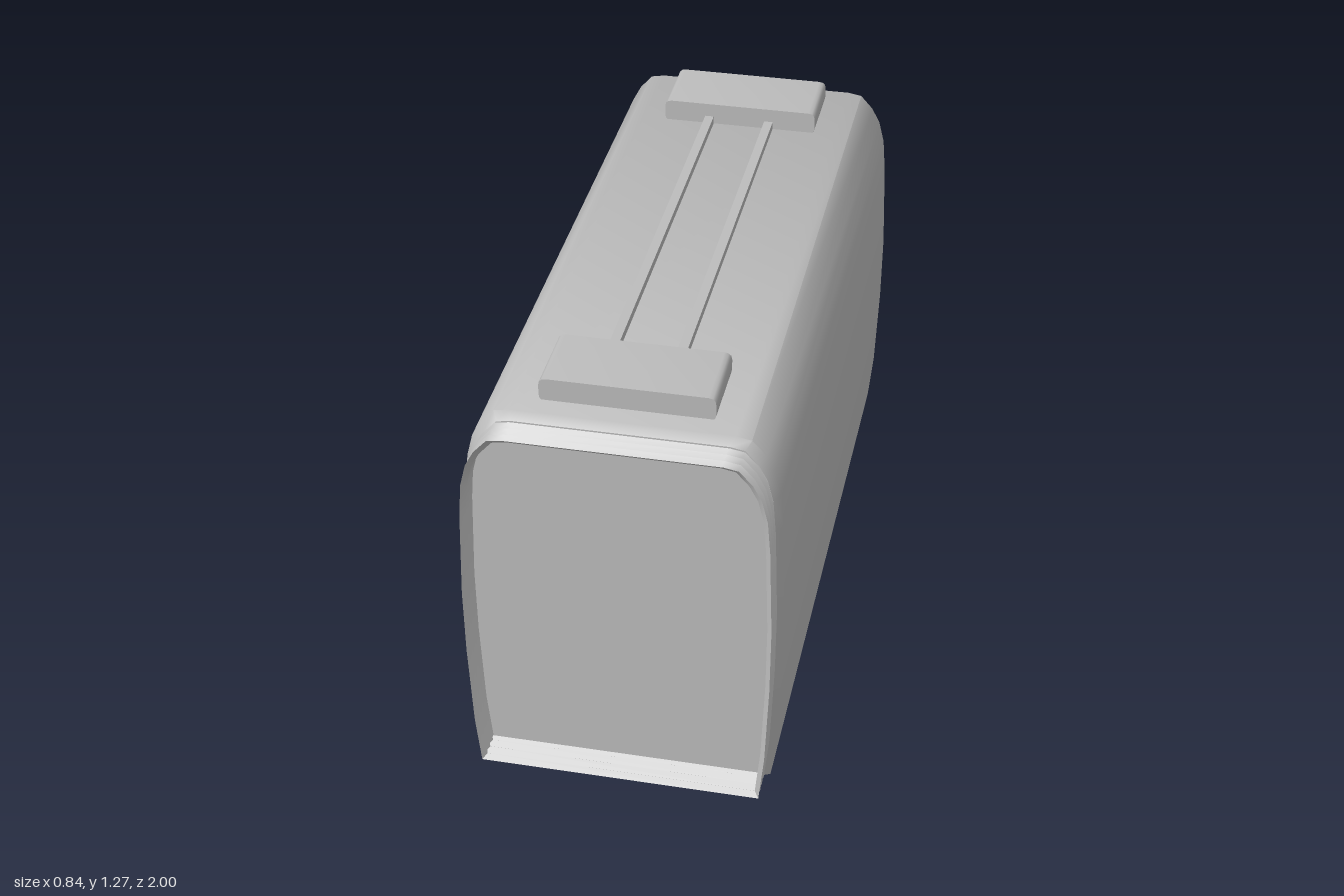
import * as THREE from 'three';
import { toCreasedNormals } from 'three/addons/utils/BufferGeometryUtils.js';

const CENTRE_Y = 0.662;
// Right half of the carriage cross-section, from floor to roof
const HALF = [
  [0.396, 0.105], [0.41, 0.25], [0.42, 0.5], [0.422, 0.7], [0.414, 0.96],
  [0.406, 1.06], [0.39, 1.125], [0.366, 1.17], [0.33, 1.21], [0.29, 1.217],
];
const PROFILE = [...HALF, ...HALF.map(([x, y]) => [-x, y]).reverse()];

// Skin the profile through rings of [z, inset], with optional flat ends
function loft(rings, capped) {
  const n = PROFILE.length;
  const pos = [];
  const idx = [];
  for (const [z, inset] of rings) {
    const sx = 1 - inset / 0.422;
    const sy = 1 - inset / 0.556;
    for (const [x, y] of PROFILE) pos.push(x * sx, CENTRE_Y + (y - CENTRE_Y) * sy, z);
  }
  for (let r = 0; r < rings.length - 1; r++) {
    for (let i = 0; i < n; i++) {
      const j = (i + 1) % n;
      const a = r * n + i, b = r * n + j;
      idx.push(a, b, b + n, a, b + n, a + n);
    }
  }
  if (capped) {
    const last = rings.length - 1;
    const back = pos.length / 3;
    pos.push(0, CENTRE_Y, rings[0][0], 0, CENTRE_Y, rings[last][0]);
    for (let i = 0; i < n; i++) {
      const j = (i + 1) % n;
      idx.push(back, j, i, back + 1, last * n + i, last * n + j);
    }
  }
  const g = new THREE.BufferGeometry();
  g.setAttribute('position', new THREE.Float32BufferAttribute(pos, 3));
  g.setIndex(idx);
  return toCreasedNormals(g, 0.75);
}

export function createModel() {
  const model = new THREE.Group();
  model.name = 'railCarriage';
  const grey = new THREE.MeshStandardMaterial({ color: 0xbcbcbc, side: THREE.DoubleSide });
  grey.name = 'light grey';

  function add(name, geometry, x = 0, y = 0, z = 0) {
    const mesh = new THREE.Mesh(geometry, grey);
    mesh.name = name;
    mesh.position.set(x, y, z);
    model.add(mesh);
    return mesh;
  }

  // Body shell with slightly bevelled ends
  add('body', loft([[-1, 0.016], [-0.978, 0], [0.885, 0], [0.91, 0.016]], true));

  // Open pleated gangway on the front end
  const pleats = [];
  for (let i = 0; i <= 7; i++) pleats.push([0.905 + (i * 0.095) / 7, i % 2 ? 0.014 : 0.027]);
  add('gangwayBellows', loft(pleats, false));

  // Roof units with softened long edges
  const w = 0.228, h = 0.068, c = 0.02;
  const unit = new THREE.Shape();
  unit.moveTo(-w + c, 0);
  unit.lineTo(w - c, 0);
  unit.quadraticCurveTo(w, 0, w, c);
  unit.lineTo(w, h - c);
  unit.quadraticCurveTo(w, h, w - c, h);
  unit.lineTo(-w + c, h);
  unit.quadraticCurveTo(-w, h, -w, h - c);
  unit.lineTo(-w, c);
  unit.quadraticCurveTo(-w, 0, -w + c, 0);
  const unitGeometry = toCreasedNormals(
    new THREE.ExtrudeGeometry(unit, { depth: 0.21, bevelEnabled: false, curveSegments: 3 }), 0.75);
  add('rearRoofUnit', unitGeometry, 0, 1.212, -0.91);
  add('frontRoofUnit', unitGeometry, 0, 1.212, 0.615);

  // Pair of conduits joining the roof units
  for (const x of [-0.092, 0.088]) {
    add('roofConduit', new THREE.BoxGeometry(0.026, 0.03, 1.33), x, 1.225, -0.043);
  }

  // Flanged wheels, half sunk in the floor, with their axles
  const wheelProfile = [[0, -0.022], [0.09, -0.018], [0.106, -0.008], [0.106, 0.004],
    [0.086, 0.01], [0.08, 0.026], [0, 0.026]].map(([r, y]) => new THREE.Vector2(r, y));
  const wheelGeometry = toCreasedNormals(new THREE.LatheGeometry(wheelProfile, 14), 0.6);
  for (const z of [0.28, -0.36]) {
    for (const side of [-1, 1]) {
      const wheel = add('wheel', wheelGeometry, side * 0.264, 0.109, z);
      wheel.rotation.z = -side * Math.PI / 2;
    }
    const axle = add('axle', new THREE.CylinderGeometry(0.014, 0.014, 0.52, 10), 0, 0.107, z);
    axle.rotation.z = Math.PI / 2;
    const stub = add('axleEnds', new THREE.CylinderGeometry(0.009, 0.009, 0.64, 10), 0, 0.107, z);
    stub.rotation.z = Math.PI / 2;
  }
  return model;
}
